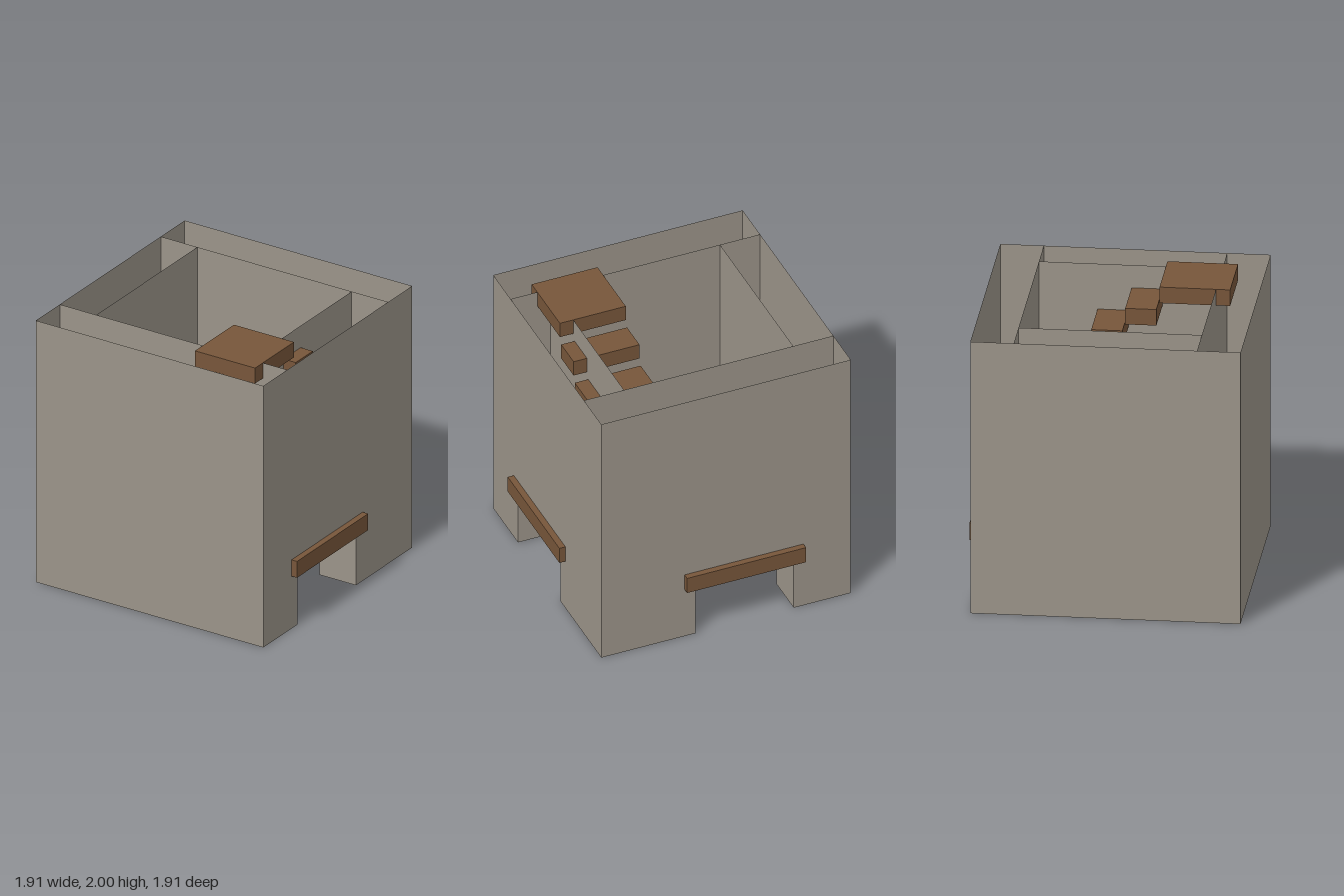
import * as THREE from 'three';

export function createModel() {
  const tower = new THREE.Group();
  tower.name = 'stairTower';
  const stone = new THREE.MeshStandardMaterial({ color: 0x9b9489, side: THREE.DoubleSide });
  stone.name = 'stone';
  const wood = new THREE.MeshStandardMaterial({ color: 0x77563a });
  wood.name = 'wood';

  const HEIGHT = 2, DOOR_HEIGHT = 0.4;
  const X = { out0: -0.957, in0: -0.657, in1: 0.61, out1: 0.91 };
  const Z = { out0: -0.91, in0: -0.61, in1: 0.657, out1: 0.957 };

  // Box given by its low and high corners
  function block(name, x0, x1, y0, y1, z0, z1) {
    const mesh = new THREE.Mesh(new THREE.BoxGeometry(x1 - x0, y1 - y0, z1 - z0), wood);
    mesh.position.set((x0 + x1) / 2, (y0 + y1) / 2, (z0 + z1) / 2);
    mesh.name = name;
    tower.add(mesh);
  }

  // Upright sheet in the local xy plane, with an optional doorway notch
  function panel(a, b, door) {
    const pts = [[a, 0]];
    if (door) pts.push([door[0], 0], [door[0], DOOR_HEIGHT], [door[1], DOOR_HEIGHT], [door[1], 0]);
    pts.push([b, 0], [b, HEIGHT], [a, HEIGHT]);
    return new THREE.ShapeGeometry(new THREE.Shape(pts.map(p => new THREE.Vector2(...p))));
  }

  // Hollow wall, open above and below: two sheets and a lined doorway
  function wall(name, outer, outSpan, inner, inSpan, door) {
    const group = new THREE.Group();
    group.name = name;
    const add = (part, geometry, x, y, z) => {
      const mesh = new THREE.Mesh(geometry, stone);
      mesh.name = part;
      mesh.position.set(x, y, z);
      group.add(mesh);
    };
    add('outerFace', panel(...outSpan, door), 0, 0, outer);
    add('innerFace', panel(...inSpan, door), 0, 0, inner);
    if (door) {
      const depth = Math.abs(outer - inner), mid = (outer + inner) / 2;
      add('doorCeiling', new THREE.PlaneGeometry(door[1] - door[0], depth).rotateX(Math.PI / 2),
        (door[0] + door[1]) / 2, DOOR_HEIGHT, mid);
      door.forEach((x, i) => add('doorJamb',
        new THREE.PlaneGeometry(depth, DOOR_HEIGHT).rotateY(i ? -Math.PI / 2 : Math.PI / 2),
        x, DOOR_HEIGHT / 2, mid));
    }
    tower.add(group);
    return group;
  }

  // Front and back walls run the full width; side walls fit between them
  const xs = [X.out0, X.out1], zs = [Z.out0, Z.out1], zIn = [Z.in0, Z.in1];
  wall('frontWall', Z.out1, xs, Z.in1, xs);
  wall('backWall', Z.out0, xs, Z.in0, xs, [-0.53, 0.205]);
  // Side walls are turned so that local x runs along z
  wall('rightWall', -X.out0, zs, -X.in0, zIn).rotation.y = -Math.PI / 2;
  wall('leftWall', -X.out1, zs, -X.in1, zIn, [-0.205, 0.53]).rotation.y = -Math.PI / 2;

  // Lintels outside and inside both doorways
  for (const [a, b] of [[0.91, 0.955], [0.565, 0.61]]) {
    block('sideLintel', a, b, 0.4, 0.525, -0.29, 0.603);
    block('backLintel', -0.603, 0.287, 0.4, 0.525, -b, -a);
  }

  // Steps climb around the shaft, their outer ends set into the walls
  const L = [-0.757, -0.267], R = [0.217, 0.71];
  const B = [-0.71, -0.22], F = [0.267, 0.755];
  const steps = [
    [[-0.143, -0.052], F], [[-0.25, -0.16], F], [L, F],
    [L, [0.03, 0.245]], [L, [-0.205, 0.01]], [L, B],
    [[-0.25, -0.035], B], [[-0.015, 0.2], B], [R, B],
    [R, [-0.205, 0.01]], [R, [0.03, 0.245]], [R, F],
  ];
  steps.forEach(([x, z], i) => {
    const top = HEIGHT * (i + 1) / steps.length;
    block('step' + (i + 1), x[0], x[1], top - 0.118, top, z[0], z[1]);
  });

  return tower;
}
